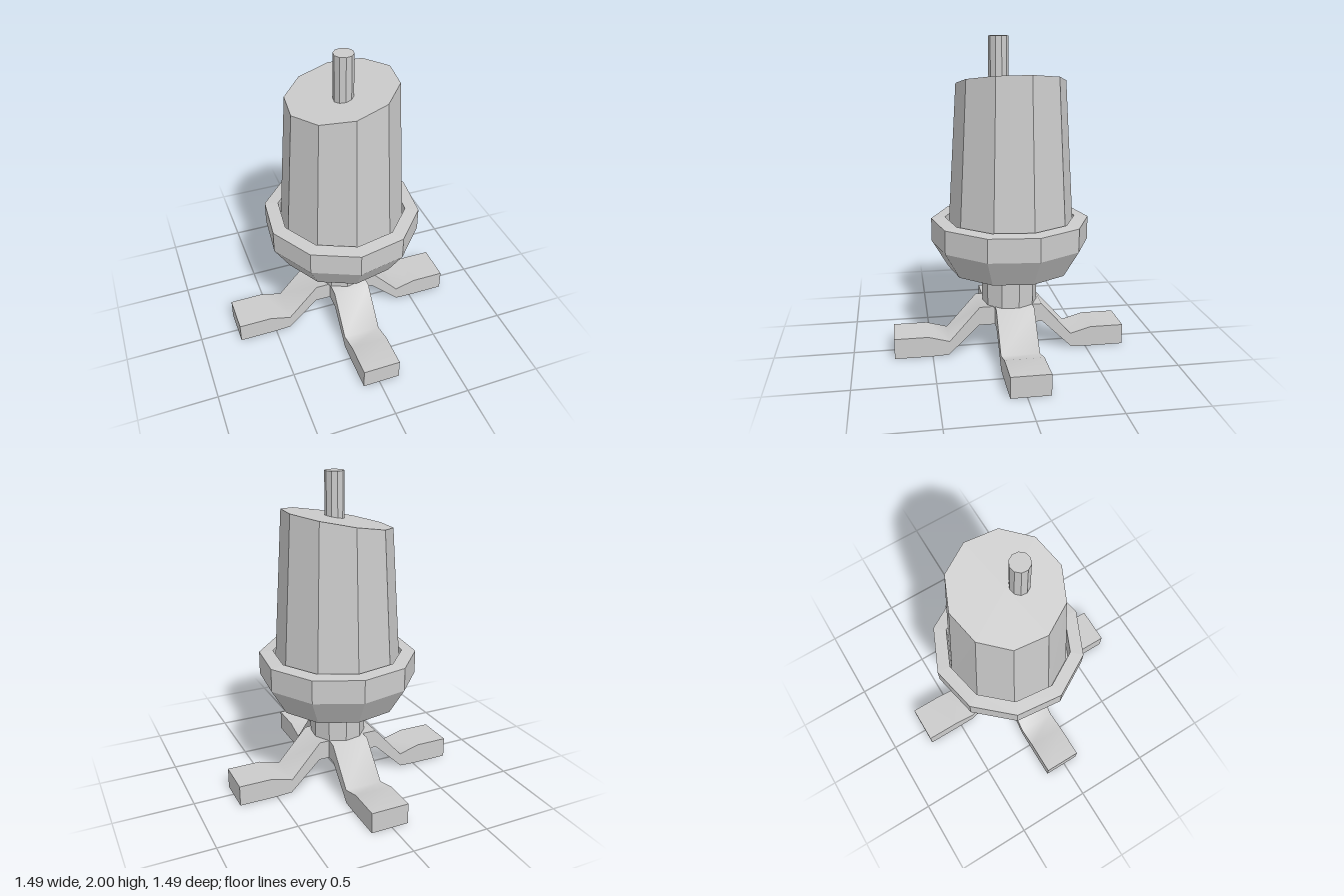
import * as THREE from 'three';
import { toCreasedNormals } from 'three/addons/utils/BufferGeometryUtils.js';

const SIDES = 10;
const TWIST = -0.106; // all round parts share the same slight turn

export function createModel() {
  const model = new THREE.Group();
  model.name = 'model';
  const flat = new THREE.MeshStandardMaterial({ color: 0xcccccc, flatShading: true });
  const smooth = new THREE.MeshStandardMaterial({ color: 0xcccccc });

  const add = (name, geometry, x, y, z, material = flat) => {
    const mesh = new THREE.Mesh(geometry, material);
    mesh.name = name;
    mesh.position.set(x, y, z);
    model.add(mesh);
    return mesh;
  };
  const column = (rTop, rBottom, height) =>
    new THREE.CylinderGeometry(rTop, rBottom, height, SIDES, 1, false, TWIST);

  // Crossed feet: one bent bar profile, mirrored, extruded twice
  const upper = [[0.2, 0.315], [0.395, 0.095], [0.53, 0.133], [0.745, 0.133]];
  const lower = [[0.745, 0], [0.5, 0], [0.4, 0.005], [0.205, 0.195]];
  const half = [...upper, ...lower];
  const outline = [...half, ...half.map(([x, y]) => [-x, y]).reverse()];
  const shape = new THREE.Shape(outline.map(([x, y]) => new THREE.Vector2(x, y)));
  const bar = new THREE.ExtrudeGeometry(shape, { depth: 0.243, bevelEnabled: false });
  bar.translate(0, 0, -0.1215);
  const legs = toCreasedNormals(bar, 1.2);
  add('sideLegs', legs, -0.002, 0, -0.022, smooth);
  add('frontAndBackLegs', legs, 0.014, 0, -0.004, smooth).rotation.y = Math.PI / 2;

  // Neck between the feet and the bowl
  add('neck', column(0.179, 0.176, 0.26), 0.015, 0.435, -0.012);

  // Bowl with a thick rim and a sunken floor
  const bowlProfile = [
    [0, 0.55], [0.397, 0.55], [0.499, 0.72], [0.499, 0.868],
    [0.412, 0.876], [0.41, 0.72], [0, 0.72],
  ].map(([r, y]) => new THREE.Vector2(r, y));
  add('bowl', new THREE.LatheGeometry(bowlProfile, SIDES, TWIST), 0.016, 0, -0.015);

  // Tapered body, its top cut at a slant that rises towards +x
  const bodyHeight = 1.005;
  const body = column(0.339, 0.402, bodyHeight);
  const p = body.attributes.position;
  for (let i = 0; i < p.count; i++) {
    if (p.getY(i) > 0) p.setY(i, p.getY(i) + 0.19 * p.getX(i));
  }
  body.computeVertexNormals();
  add('body', body, 0.019, 0.72 + bodyHeight / 2, -0.022);

  // Thin rod standing on the slanted top
  add('rod', column(0.061, 0.061, 0.36), 0.002, 1.82, 0.054);

  return model;
}
